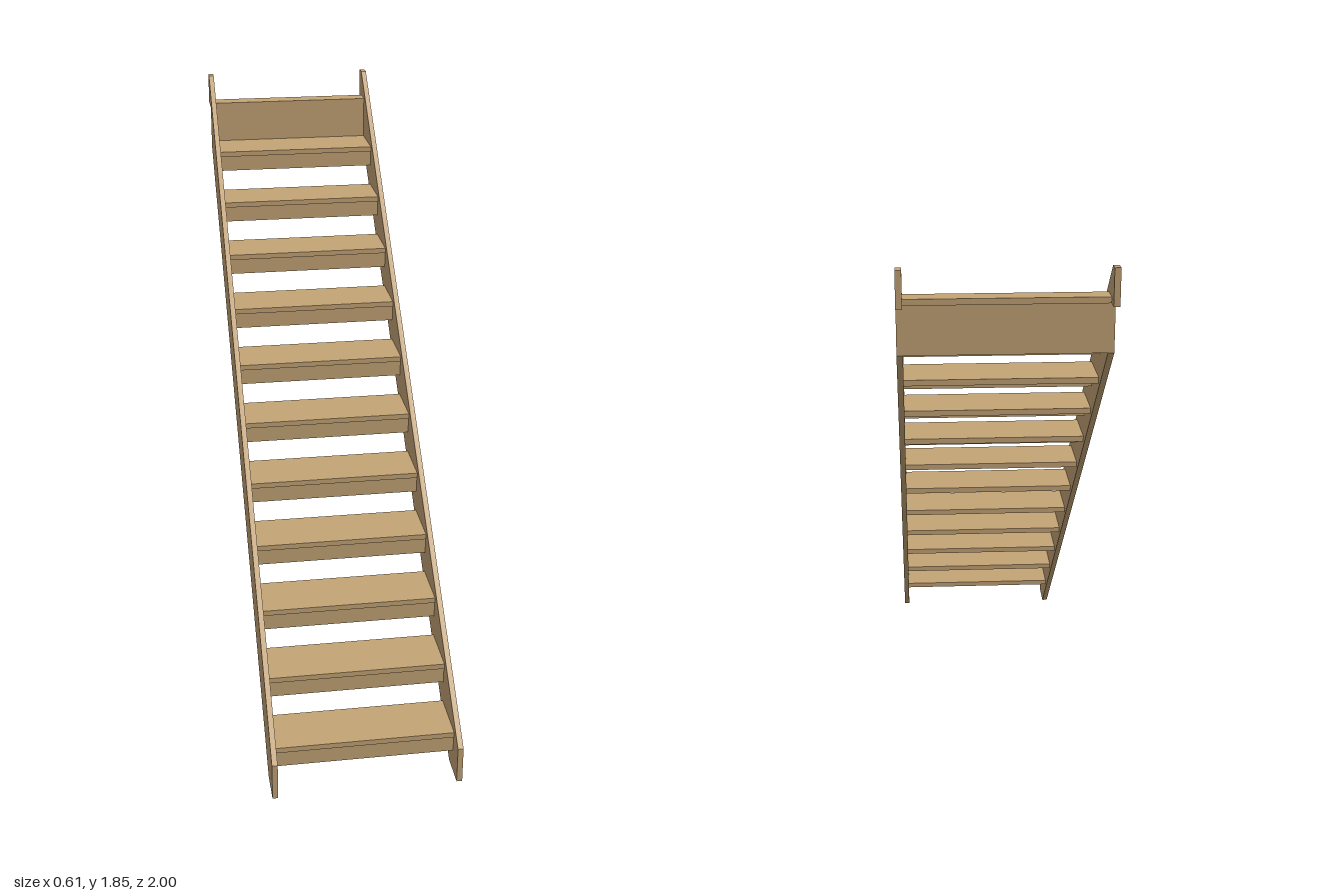
import * as THREE from 'three';

const STEPS = 12;
const RISE = 0.1468, GOING = 0.1669;      // step spacing
const FIRST_TOP = 0.146, FIRST_NOSE = 0.942;
const INNER = 0.286, OUTER = 0.304;       // faces of the side boards
const TREAD = 0.018;                      // tread thickness

export function createModel() {
  const stairs = new THREE.Group();
  stairs.name = 'openStaircase';
  const wood = new THREE.MeshStandardMaterial({ color: 0xc4a476 });
  wood.name = 'lightWood';

  // Full-width board given by its bottom, top, back and front
  function board(name, y0, y1, z0, z1) {
    const mesh = new THREE.Mesh(new THREE.BoxGeometry(INNER * 2, y1 - y0, z1 - z0), wood);
    mesh.position.set(0, (y0 + y1) / 2, (z0 + z1) / 2);
    mesh.name = name;
    stairs.add(mesh);
  }

  // Sloping side boards, outlined in (z, y) with a notch for the upper floor
  const outline = [
    [1, 0], [1, 0.125], [-0.965, 1.85], [-1, 1.85],
    [-1, 1.742], [-0.912, 1.742], [-0.912, 1.59], [0.89, 0],
  ];
  const profile = new THREE.Shape(outline.map(([z, y]) => new THREE.Vector2(-z, y)));
  const sideGeometry = new THREE.ExtrudeGeometry(profile, { depth: OUTER - INNER, bevelEnabled: false });
  sideGeometry.rotateY(Math.PI / 2);      // shape x becomes -z, depth becomes +x
  for (const [name, x] of [['leftStringer', INNER], ['rightStringer', -OUTER]]) {
    const side = new THREE.Mesh(sideGeometry, wood);
    side.position.x = x;
    side.name = name;
    stairs.add(side);
  }

  // Treads, each with a short strip set back under its nosing
  for (let i = 0; i < STEPS; i++) {
    const top = FIRST_TOP + i * RISE;
    const nose = FIRST_NOSE - i * GOING;
    const last = i === STEPS - 1;
    board(`tread${i + 1}`, top - TREAD, top, last ? -0.957 : nose - 0.173, nose);
    if (!last) board(`riserStrip${i + 1}`, top - 0.073, top - TREAD, nose - 0.018, nose - 0.006);
  }

  // Closed riser below the top landing strip
  board('topRiser', 1.59, 1.743, -0.912, -0.9);
  return stairs;
}
